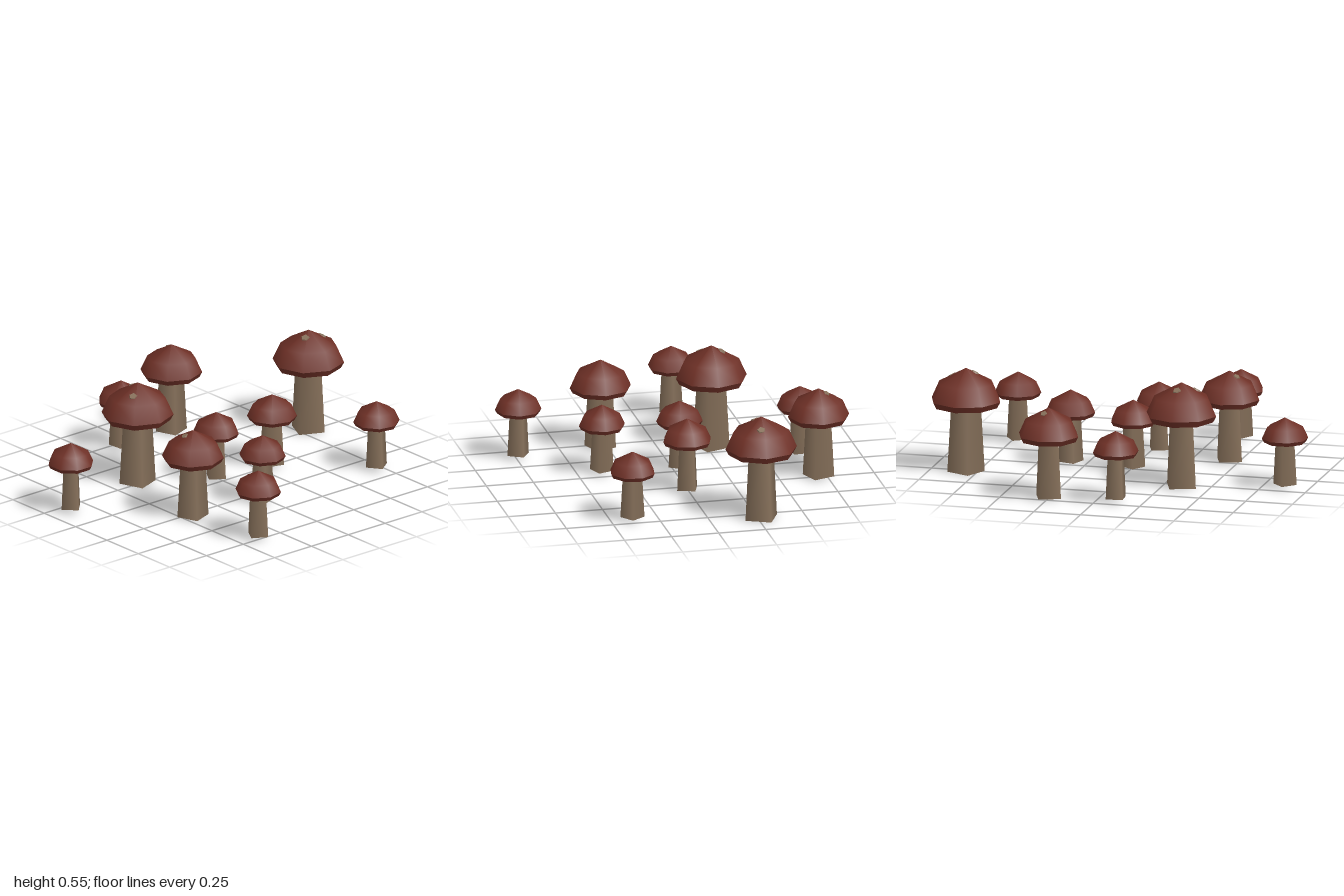
import * as THREE from 'three';

const mat = (name, color, side = THREE.FrontSide) => {
  const m = new THREE.MeshStandardMaterial({ color, side });
  m.name = name;
  return m;
};

// x, z, scale, cap turn, stem turn (degrees), spots as [dx, dz]
const MUSHROOMS = [
  [-0.27, -0.81, 1, -4, 20, [[0.018, -0.08], [0.024, 0.042]]],
  [-0.275, 0.345, 1, -1, -25, [[-0.055, -0.01], [0.045, 0.069]]],
  [-0.705, -0.25, 0.86, -3, -25, [[-0.046, -0.018]]],
  [0.29, 0.45, 0.86, -2, -25, [[-0.018, 0.049]]],
  [0.01, -0.325, 0.69, 5, 27, []],
  [0.39, -0.71, 0.645, 13, -10, []],
  [-0.03, 0.02, 0.645, -10, 13, []],
  [0.375, 0.05, 0.645, -3, -25, []],
  [-0.69, 0.105, 0.645, -18, 49, []],
  [0.74, 0.39, 0.645, -8, 15, []],
  [-0.185, 0.875, 0.645, 22, 0, []],
];

export function createModel() {
  const red = mat('cap red', 0x6e3026);
  const brown = mat('stem brown', 0x86705a);
  const rad = THREE.MathUtils.degToRad;
  const lathe = (pts) => new THREE.LatheGeometry(pts.map(([r, y]) => new THREE.Vector2(r, y)), 8);

  // Shared geometry: domed cap, turned-in rim, pale underside, square tapered stem
  const dome = lathe([[0.187, 0.32], [0.146, 0.411], [0, 0.49]]);
  const rim = lathe([[0.17, 0.288], [0.187, 0.32]]);
  const gills = lathe([[0.05, 0.305], [0.17, 0.288]]);
  const stem = new THREE.CylinderGeometry(0.076, 0.097, 0.382, 4);
  stem.translate(0, 0.129, 0);
  const spot = new THREE.CylinderGeometry(0.02, 0.024, 0.009, 5);
  const up = new THREE.Vector3(0, 1, 0);

  const add = (parent, name, geometry, material, turn = 0) => {
    const m = new THREE.Mesh(geometry, material);
    m.name = name;
    m.rotation.y = rad(turn);
    parent.add(m);
    return m;
  };

  const model = new THREE.Group();
  model.name = 'mushroomPatch';
  for (const [x, z, s, capTurn, stemTurn, spots] of MUSHROOMS) {
    const g = new THREE.Group();
    g.name = 'mushroom';
    g.position.set(x, 0.064, z);
    g.scale.setScalar(s);
    add(g, 'capDome', dome, red, capTurn);
    add(g, 'capRim', rim, red, capTurn);
    add(g, 'gills', gills, brown, capTurn);
    add(g, 'stem', stem, brown, stemTurn);
    // Small flat spots lying on the slope of the cap
    for (const [dx, dz] of spots) {
      const r = Math.hypot(dx, dz);
      const p = add(g, 'capSpot', spot, brown);
      p.position.set(dx, 0.49 - 0.57 * r, dz);
      const normal = new THREE.Vector3(0.57 * dx / r, 1, 0.57 * dz / r).normalize();
      p.quaternion.setFromUnitVectors(up, normal);
    }
    model.add(g);
  }
  return model;
}
